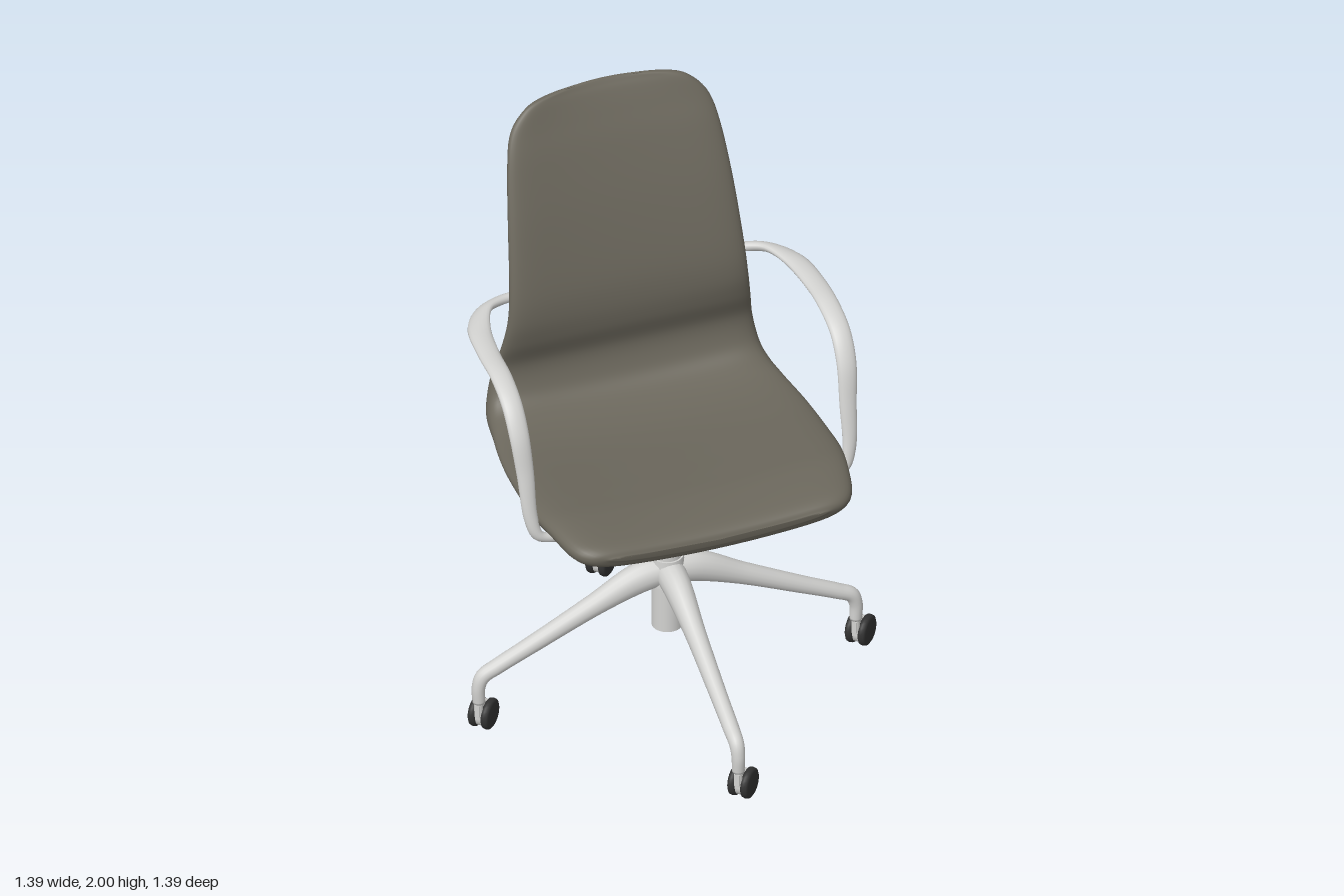
import * as THREE from 'three';

const fabric = new THREE.MeshStandardMaterial({ color: 0x6b675c });
fabric.name = 'olive grey fabric';
const metal = new THREE.MeshStandardMaterial({ color: 0xd2d2d0 });
metal.name = 'light grey metal';
const rubber = new THREE.MeshStandardMaterial({ color: 0x323232 });
rubber.name = 'black rubber';

const V = (x, y, z) => new THREE.Vector3(x, y, z);

function add(parent, name, geometry, material, x = 0, y = 0, z = 0) {
  const mesh = new THREE.Mesh(geometry, material);
  mesh.name = name;
  mesh.position.set(x, y, z);
  parent.add(mesh);
  return mesh;
}

// Skin over closed rings of points, with a fan at each end
function loft(rings) {
  const n = rings[0].length, pos = [], index = [];
  rings.forEach(r => r.forEach(p => pos.push(p.x, p.y, p.z)));
  for (let i = 0; i < rings.length - 1; i++)
    for (let j = 0; j < n; j++) {
      const a = i * n + j, b = i * n + (j + 1) % n;
      index.push(a, a + n, b, b, a + n, b + n);
    }
  [0, rings.length - 1].forEach((i, end) => {
    const c = rings[i].reduce((s, p) => s.add(p), V(0, 0, 0)).divideScalar(n);
    const k = pos.length / 3;
    pos.push(c.x, c.y, c.z);
    for (let j = 0; j < n; j++) {
      const a = i * n + j, b = i * n + (j + 1) % n;
      index.push(k, ...(end ? [b, a] : [a, b]));
    }
  });
  const g = new THREE.BufferGeometry();
  g.setAttribute('position', new THREE.Float32BufferAttribute(pos, 3));
  g.setIndex(index);
  g.computeVertexNormals();
  return g;
}

// Elliptical section along a path; each row is x, y, z, half width, half height
function sweep(rows, refAt, steps = 60) {
  const path = new THREE.CatmullRomCurve3(rows.map(r => V(r[0], r[1], r[2])));
  const size = new THREE.CatmullRomCurve3(rows.map((r, i) => V(r[3], r[4], i)));
  const rings = [];
  for (let i = 0; i <= steps; i++) {
    const p = path.getPoint(i / steps), t = path.getTangent(i / steps), s = size.getPoint(i / steps);
    const side = t.clone().cross(refAt(p)).normalize();
    const up = side.clone().cross(t);
    rings.push(Array.from({ length: 16 }, (_, j) => {
      const a = j / 16 * Math.PI * 2;
      return p.clone().addScaledVector(side, s.x * Math.cos(a)).addScaledVector(up, s.y * Math.sin(a));
    }));
  }
  return loft(rings);
}

// Shell from seat nose to top of back:
// inner z, y, half width, outer z, y, edge curl, depth of bowl underneath
function shellGeometry() {
  const rows = [
    [.487, .90, .36, .485, .885, .025, 0], [.47, .925, .43, .465, .855, .027, 0],
    [.42, .94, .475, .41, .845, .03, .015], [.30, .95, .505, .30, .86, .03, .08],
    [.20, .945, .52, .20, .86, .03, .14], [.08, .935, .52, .09, .86, .03, .17],
    [-.05, .925, .515, -.05, .86, .03, .17], [-.15, .925, .505, -.13, .86, .03, .135],
    [-.24, .94, .49, -.23, .86, .025, .06], [-.31, .97, .475, -.37, .862, .02, .01],
    [-.345, 1.02, .46, -.43, .90, .015, 0], [-.36, 1.1, .44, -.435, 1.03, .015, 0],
    [-.33, 1.2, .42, -.40, 1.17, .015, 0], [-.32, 1.3, .405, -.385, 1.3, .02, 0],
    [-.335, 1.42, .395, -.40, 1.43, .022, 0], [-.39, 1.62, .38, -.455, 1.63, .025, 0],
    [-.455, 1.8, .36, -.515, 1.81, .028, 0], [-.50, 1.9, .335, -.555, 1.91, .03, 0],
    [-.53, 1.96, .285, -.57, 1.965, .03, 0], [-.546, 1.985, .23, -.57, 1.987, .025, 0],
    [-.555, 1.998, .13, -.56, 2.0, .01, 0],
  ];
  const curve = (a, b, c) => new THREE.CatmullRomCurve3(
    rows.map(r => V(r[a], r[b], r[c])), false, 'catmullrom', .5);
  const inner = curve(0, 1, 2), outer = curve(3, 4, 5), bowl = curve(6, 6, 6);
  const steps = 120, n = 72, rings = [];
  for (let i = 0; i <= steps; i++) {
    const f = inner.getPoint(i / steps), b = outer.getPoint(i / steps);
    const depth = Math.max(0, bowl.getPoint(i / steps).x);
    const mid = V(0, (f.y + b.y) / 2, (f.x + b.x) / 2);
    const half = V(0, (f.y - b.y) / 2, (f.x - b.x) / 2);
    const dir = half.clone().normalize();
    rings.push(Array.from({ length: n }, (_, j) => {
      const a = j / n * Math.PI * 2, t = Math.cos(a), x = f.z * t;
      const r = Math.sqrt(Math.max(0, 1 - Math.abs(t) ** 10)) * Math.sign(Math.sin(a));
      const p = mid.clone().addScaledVector(half, r).addScaledVector(dir, b.z * t * t);
      p.x = x;
      if (r < 0) p.y += r * depth / (1 + (x / .2) ** 4);
      return p;
    }));
  }
  return loft(rings);
}

function armGeometry(s) {
  const rows = [
    [.33, 1.35, -.395, .016, .016], [.41, 1.352, -.385, .02, .016], [.48, 1.355, -.35, .03, .016],
    [.53, 1.357, -.26, .037, .016], [.55, 1.357, -.12, .036, .016], [.553, 1.35, 0, .035, .016],
    [.555, 1.31, .10, .034, .016], [.553, 1.23, .16, .033, .016], [.545, 1.1, .195, .029, .016],
    [.538, .95, .225, .023, .016], [.518, .885, .235, .019, .016], [.475, .865, .237, .017, .015],
    [.38, .86, .237, .015, .014],
  ].map(([x, ...r]) => [x * s, ...r]);
  return sweep(rows, p => V(0, p.y - 1.05, p.z + .1), 90);
}

// Twin-wheel caster, its wheel pair trailing behind the pivot
function caster() {
  const g = new THREE.Group();
  g.name = 'caster';
  add(g, 'casterStem', new THREE.CylinderGeometry(.014, .014, .08, 16), metal, 0, .1, 0);
  const pair = new THREE.Group();
  pair.name = 'wheelPair';
  pair.position.set(.026, .052, -.026);
  pair.rotation.y = -Math.PI / 4;
  g.add(pair);
  const tread = new THREE.LatheGeometry(
    [[0, -.014], [.042, -.014], [.05, -.009], [.052, 0], [.05, .009], [.042, .014], [0, .014]]
      .map(p => new THREE.Vector2(...p)), 28);
  for (const s of [-1, 1])
    add(pair, 'wheel', tread, rubber, s * .022).rotation.z = Math.PI / 2;
  add(pair, 'wheelFork', new THREE.CylinderGeometry(.044, .044, .02, 24), metal).rotation.z = Math.PI / 2;
  add(pair, 'forkNeck', new THREE.BoxGeometry(.018, .04, .045), metal, 0, .035, .028);
  return g;
}

export function createModel() {
  const model = new THREE.Group();
  model.name = 'officeChair';
  const chair = new THREE.Group();
  chair.name = 'chair';
  chair.position.set(-.03, 0, .02);
  model.add(chair);

  // Upholstered seat and back
  add(chair, 'seatShell', shellGeometry(), fabric, 0, 0, -.02);

  // Arm loops
  for (const s of [1, -1])
    add(chair, s > 0 ? 'leftArm' : 'rightArm', armGeometry(s), metal, 0, 0, -.02);

  // Column and hub
  add(chair, 'gasLift', new THREE.CylinderGeometry(.047, .047, .17, 32), metal, 0, .6, 0);
  add(chair, 'liftCollar', new THREE.CylinderGeometry(.054, .054, .02, 32), metal, 0, .68, 0);
  add(chair, 'column', new THREE.CylinderGeometry(.05, .05, .27, 32), metal, 0, .395, 0);
  add(chair, 'hub', new THREE.CylinderGeometry(.053, .06, .1, 32), metal, 0, .482, 0);

  // Four legs with casters
  const leg = sweep([
    [0, .48, 0, .05, .05], [.1, .46, 0, .045, .052], [.25, .393, 0, .034, .037],
    [.45, .297, 0, .028, .029], [.575, .238, 0, .026, .026], [.622, .212, 0, .024, .025],
    [.637, .175, 0, .022, .022], [.637, .115, 0, .02, .02],
  ], () => V(.6, .8, 0));
  for (let i = 0; i < 4; i++) {
    const a = i * Math.PI / 2;
    add(chair, 'leg', leg, metal).rotation.y = a;
    const c = caster();
    c.position.set(.637 * Math.cos(a), 0, -.637 * Math.sin(a));
    chair.add(c);
  }

  // Height lever with flat paddle
  add(chair, 'leverRod', new THREE.CylinderGeometry(.008, .008, .26, 12), metal, -.23, .765, .03)
    .rotation.z = Math.PI / 2;
  add(chair, 'leverPaddle', new THREE.BoxGeometry(.09, .016, .045), metal, -.355, .765, .03);
  return model;
}
